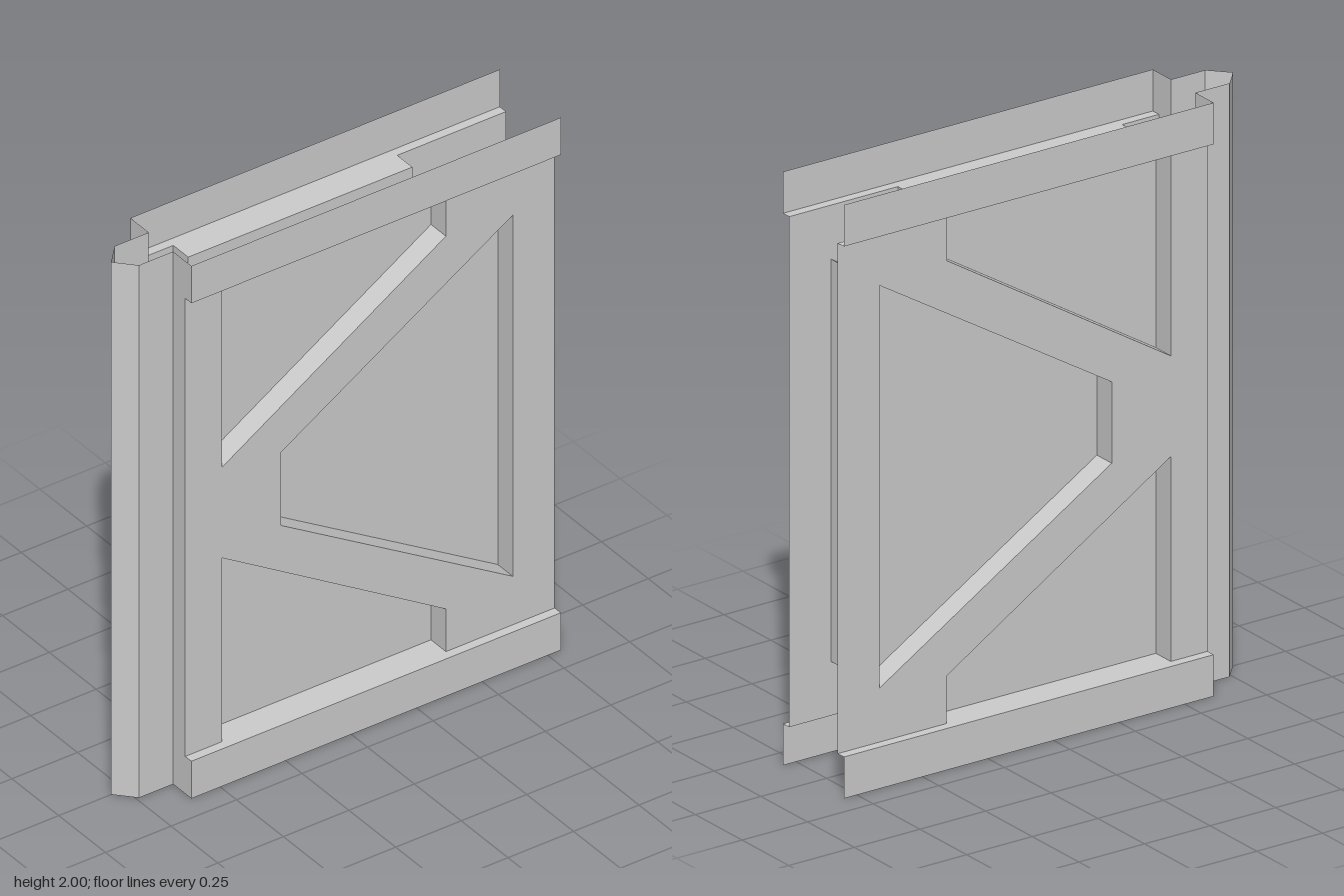
import * as THREE from 'three';

const material = new THREE.MeshStandardMaterial({ color: 0xcccccc, flatShading: true, side: THREE.DoubleSide });

const LEFT = -0.61, RIGHT = 0.8;            // sheet ends
const FACE = 0.13, RECESS = 0.05, RAIL = 0.163, POST = 0.065; // depths in z
const LOW = 0.14, HIGH = 1.86;              // inner edges of the rails

function addMesh(parent, name, geometry) {
  const mesh = new THREE.Mesh(geometry, material);
  mesh.name = name;
  parent.add(mesh);
  return mesh;
}

// Flat-sided strip: sweeps a line of [x, y, z] points along an offset
function strip(points, offset) {
  const pos = [];
  const shift = (p) => p.map((v, i) => v + offset[i]);
  for (let i = 0; i + 1 < points.length; i++) {
    const a = points[i], b = points[i + 1];
    const c = shift(b), d = shift(a);
    pos.push(...a, ...b, ...c, ...a, ...c, ...d);
  }
  const g = new THREE.BufferGeometry();
  g.setAttribute('position', new THREE.Float32BufferAttribute(pos, 3));
  g.computeVertexNormals();
  return g;
}

const toVectors = (pts) => pts.map(([x, y]) => new THREE.Vector2(x, y));
const flipY = (pts) => pts.map(([x, y]) => [x, 2 - y]).reverse();

// Recess outlines, counter-clockwise
const lowerRecess = [[-0.47, LOW], [0.385, LOW], [0.385, 0.3], [-0.47, 0.83]];
const upperRecess = flipY(lowerRecess);
const middleRecess = [[-0.245, 0.863], [0.64, 0.322], [0.64, 1.678], [-0.245, 1.137]];

function createSide(name) {
  const side = new THREE.Group();
  side.name = name;

  // Face sheet, notched at the outer recesses and pierced at the middle one
  const lowerEdge = [[LEFT, LOW], [-0.47, LOW], [-0.47, 0.83], [0.385, 0.3], [0.385, LOW], [RIGHT, LOW]];
  const sheet = new THREE.Shape(toVectors([...lowerEdge, ...flipY(lowerEdge)]));
  sheet.holes.push(new THREE.Path(toVectors(middleRecess)));
  addMesh(side, 'faceSheet', new THREE.ShapeGeometry(sheet)).position.z = FACE;

  // Sunken panels with their walls
  const recesses = { lower: lowerRecess, middle: middleRecess, upper: upperRecess };
  for (const [key, outline] of Object.entries(recesses)) {
    const floor = new THREE.ShapeGeometry(new THREE.Shape(toVectors(outline)));
    addMesh(side, key + 'RecessPanel', floor).position.z = RECESS;
    const loop = [...outline, outline[0]].map(([x, y]) => [x, y, FACE]);
    addMesh(side, key + 'RecessWalls', strip(loop, [0, 0, RECESS - FACE]));
  }

  // Raised rails along the bottom and top, open on the far side
  const length = [LEFT - RIGHT, 0, 0];
  addMesh(side, 'bottomRail', strip([[RIGHT, 0, RAIL], [RIGHT, LOW, RAIL], [RIGHT, LOW, FACE]], length));
  addMesh(side, 'topRail', strip([[RIGHT, HIGH, FACE], [RIGHT, HIGH, RAIL], [RIGHT, 2, RAIL]], length));
  for (const y of [0, HIGH]) {
    addMesh(side, 'railEnd', strip([[LEFT, y, FACE], [LEFT, y, RAIL]], [0, LOW, 0]));
  }
  return side;
}

export function createModel() {
  const group = new THREE.Group();
  group.name = 'wallPanel';

  group.add(createSide('frontSide'));
  // The panel is symmetric top to bottom, so the back is the front turned over
  const back = createSide('backSide');
  back.rotation.x = Math.PI;
  back.position.y = 2;
  group.add(back);

  // Narrow tongue with a pointed edge joining both sides
  const profile = [
    [LEFT, FACE], [LEFT, POST], [-0.74, POST], [-0.8, 0],
    [-0.74, -POST], [LEFT, -POST], [LEFT, -FACE],
  ].map(([x, z]) => [x, 2, z]);
  addMesh(group, 'edgeTongue', strip(profile, [0, -2, 0]));

  return group;
}
